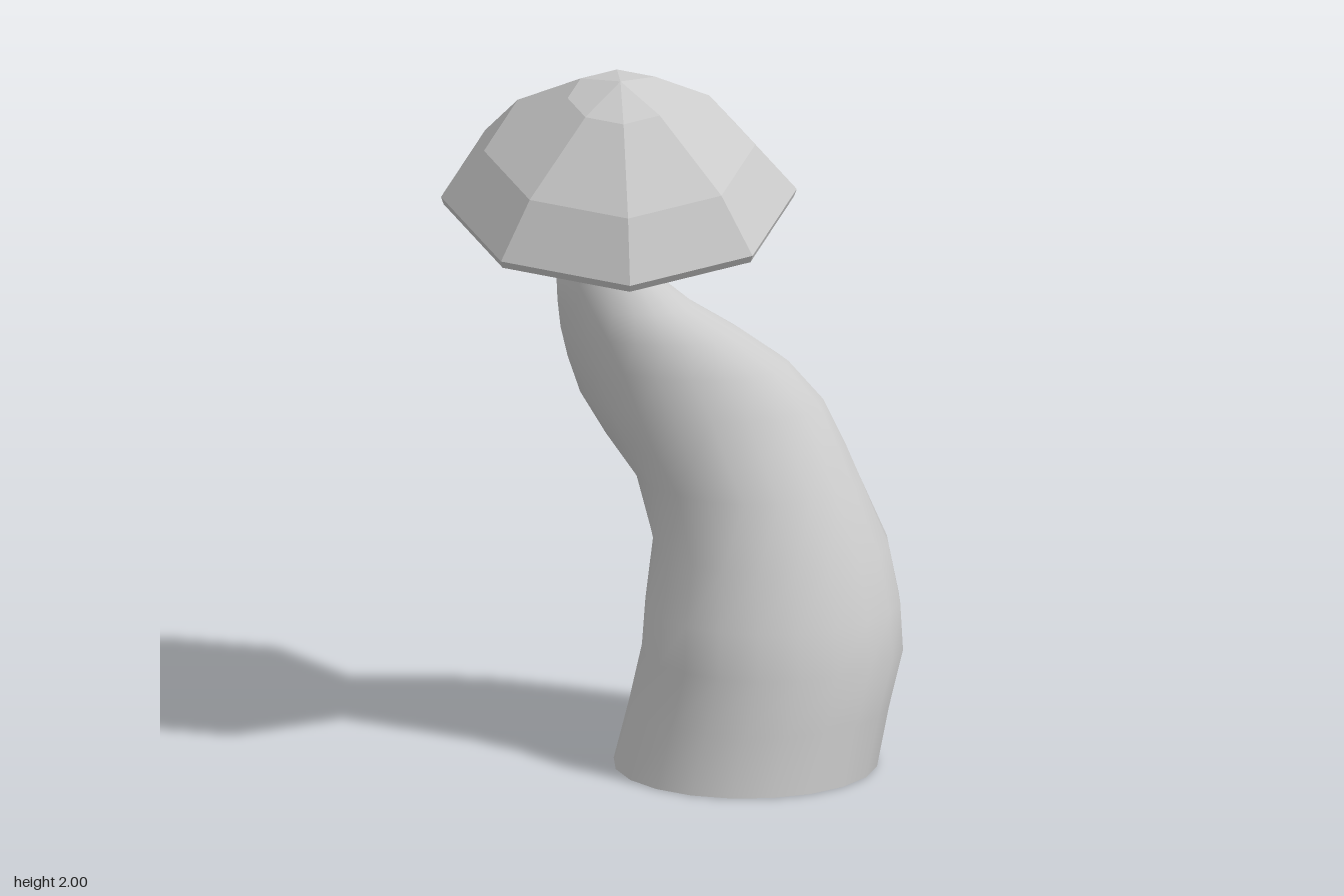
import * as THREE from 'three';

const SIDES = 20;

// Stem rings: height, centre x/z, radius x/z, skew (leans the ellipse), bulge (towards back right)
const RINGS = [
  [0.00, 0.305, 0.015, 0.395, 0.395, 0.04, 0],
  [0.17, 0.312, -0.038, 0.386, 0.39, 0.03, 0],
  [0.33, 0.320, -0.088, 0.38, 0.388, 0, 0],
  [0.46, 0.295, -0.118, 0.367, 0.385, 0, 0],
  [0.62, 0.245, -0.167, 0.36, 0.349, 0.05, 0.02],
  [0.80, 0.145, -0.18, 0.355, 0.31, 0.03, 0.06],
  [0.90, 0.065, -0.17, 0.37, 0.302, -0.05, 0.06],
  [1.02, -0.008, -0.148, 0.362, 0.283, -0.18, 0.03],
  [1.13, -0.065, -0.108, 0.322, 0.246, -0.27, 0],
  [1.22, -0.125, -0.06, 0.265, 0.2, -0.3, 0],
  [1.30, -0.186, -0.015, 0.199, 0.153, -0.27, 0],
  [1.37, -0.238, 0.006, 0.144, 0.129, -0.2, 0],
  [1.50, -0.250, 0.023, 0.1, 0.09, 0, 0],
  [1.60, -0.235, 0.033, 0.075, 0.065, 0, 0],
  [1.68, -0.220, 0.04, 0.035, 0.035, 0, 0],
  [1.70, -0.215, 0.04, 0.001, 0.001, 0, 0],
];

// Smooth skin through the rings, open at the bottom
function stemGeometry() {
  const positions = [];
  const indices = [];
  RINGS.forEach(([y, cx, cz, rx, rz, skew, bulge], i) => {
    for (let j = 0; j < SIDES; j++) {
      const t = (j / SIDES) * Math.PI * 2;
      const swell = 1 + bulge * Math.max(0, Math.cos(t - Math.PI * 1.25)) ** 4;
      positions.push(cx + rx * swell * Math.cos(t), y, cz + rz * swell * Math.sin(t + skew));
      if (i === RINGS.length - 1) continue;
      const a = i * SIDES + j;
      const b = i * SIDES + ((j + 1) % SIDES);
      indices.push(a, a + SIDES, b, b, a + SIDES, b + SIDES);
    }
  });
  const geometry = new THREE.BufferGeometry();
  geometry.setAttribute('position', new THREE.Float32BufferAttribute(positions, 3));
  geometry.setIndex(indices);
  geometry.computeVertexNormals();
  return geometry;
}

export function createModel() {
  const model = new THREE.Group();
  model.name = 'mushroom';

  const stem = new THREE.Mesh(
    stemGeometry(),
    new THREE.MeshStandardMaterial({ color: 0xcccccc, side: THREE.DoubleSide }),
  );
  stem.name = 'stem';

  // Hollow eight-sided cap with a narrow lip, from lip to apex
  const profile = [[0.513, -0.025], [0.521, 0], [0.397, 0.155], [0.154, 0.329], [0, 0.382]]
    .map(([r, y]) => new THREE.Vector2(r, y));
  const cap = new THREE.Mesh(
    new THREE.LatheGeometry(profile, 8),
    new THREE.MeshStandardMaterial({ color: 0xcccccc, flatShading: true, side: THREE.DoubleSide }),
  );
  cap.name = 'cap';
  // Tipped towards the front left
  cap.quaternion.setFromUnitVectors(
    new THREE.Vector3(0, 1, 0),
    new THREE.Vector3(0.197, 1, 0.205).normalize(),
  );
  cap.position.set(-0.194, 1.632, 0.007);

  model.add(stem, cap);
  return model;
}
